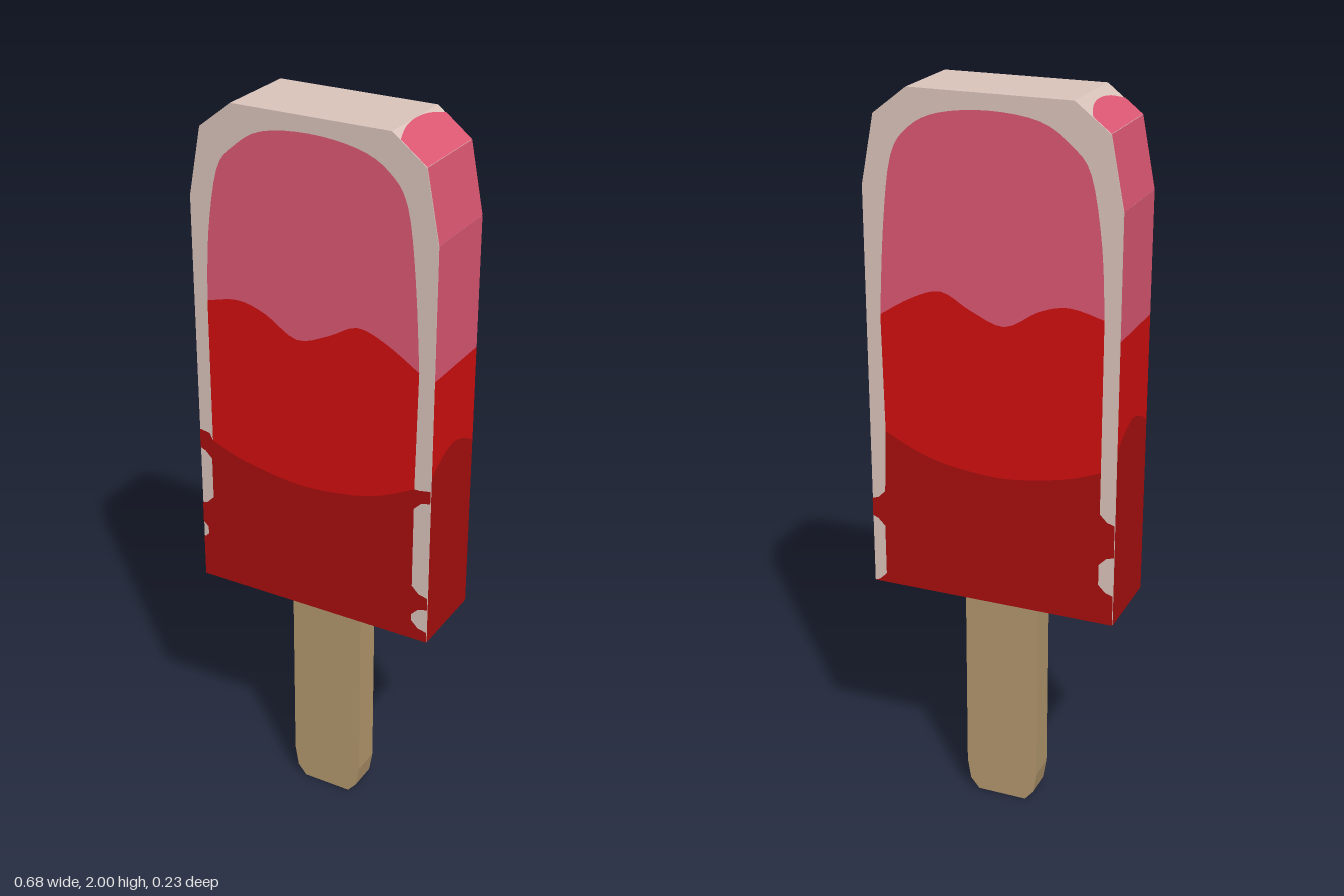
import * as THREE from 'three';

const mat = (name, color) => {
  const m = new THREE.MeshStandardMaterial({ color });
  m.name = name;
  return m;
};

export function createModel() {
  const cream = mat('cream', 0xdcc5bd);
  const pink = mat('pink', 0xde5873);
  const red = mat('red', 0xd40f0f);
  const darkRed = mat('dark red', 0xaa0f0f);
  const wood = mat('wood', 0xb4986d);

  const group = new THREE.Group();
  const W = 0.34, D = 0.115, BOTTOM = 0.655, GAP = 0.0015;
  const toShape = (pts) => new THREE.Shape(pts.map(([x, y]) => new THREE.Vector2(x, y)));
  const smooth = (pts, n = 28) => new THREE.SplineCurve(pts.map(([x, y]) => new THREE.Vector2(x, y)))
    .getPoints(n).map((p) => [p.x, p.y]);
  const mirror = (pts) => pts.map(([x, y]) => [-x, y]);

  const add = (name, geometry, material) => {
    const mesh = new THREE.Mesh(geometry, material);
    mesh.name = name;
    group.add(mesh);
    return mesh;
  };

  // Solid block with the same half outline on both sides
  const slab = (name, half, depth, material) => {
    const shape = toShape([...half, ...mirror(half).reverse()]);
    const geo = new THREE.ExtrudeGeometry(shape, { depth, bevelEnabled: false });
    add(name, geo.translate(0, 0, -depth / 2), material);
  };

  // Ice bar and stick
  const profile = [[W, BOTTOM], [W, 1.75], [0.305, 1.93], [0.215, 2.0]];
  slab('iceBar', profile, 2 * D, cream);
  slab('stick', [[0.07, 0], [0.095, 0.03], [0.105, 0.09], [0.105, BOTTOM + 0.02]], 0.08, wood);

  // Colour bands of the wide faces share these border lines
  const dome = smooth([[-0.3, 1.48], [-0.29, 1.66], [-0.26, 1.83], [-0.21, 1.895], [-0.13, 1.945], [0, 1.96],
    [0.13, 1.945], [0.21, 1.905], [0.26, 1.83], [0.285, 1.65], [0.3, 1.42]], 40);
  const wave = smooth([[-0.3, 1.48], [-0.21, 1.5], [-0.13, 1.48], [-0.04, 1.43], [0.05, 1.46],
    [0.13, 1.5], [0.21, 1.475], [0.3, 1.42]]);
  const sag = smooth([[-0.3, 1.08], [-0.2, 1.045], [-0.04, 1.02], [0.1, 1.03], [0.2, 1.055], [0.295, 1.1]]);

  // Lower edge of the dark band, bitten by notches [top, bottom, inner x, open at top]
  const edge = (s, notches) => {
    const pts = notches[0][3] ? [] : [[s * 0.31, 1.1], [s * W, 1.105]];
    for (const [top, low, inner, open] of notches) {
      const r = Math.min(0.02, (W - inner) * 0.6);
      if (!open) pts.push([s * W, top], [s * (inner + r), top - r * 0.3], [s * inner, top - r * 1.3]);
      pts.push([s * inner, low + r * 1.3], [s * (inner + r), low + r * 0.3], [s * W, low]);
    }
    pts.push([s * W, BOTTOM]);
    return pts;
  };
  const darkBand = (left, right) => [...sag, ...edge(1, left), ...edge(-1, right).reverse()];

  const bands = (dark) => [
    ['pinkTop', [...dome, ...wave.slice(1, -1).reverse()], pink],
    ['redMiddle', [...wave, ...sag.slice().reverse()], red],
    ['darkRedBase', dark, darkRed],
  ];
  const frontDark = darkBand([[1.07, 0.79, 0.295], [0.755, 0.685, 0.295]],
    [[1.05, 0.88, 0.305], [0.82, 0.775, 0.325]]);
  const backDark = darkBand([[1.09, 0.9, 0.302, true], [0.85, BOTTOM, 0.305]],
    [[1.07, 0.94, 0.3, true], [0.85, 0.74, 0.3]]);

  for (const [name, pts, m] of bands(frontDark)) {
    add(name + 'Front', new THREE.ShapeGeometry(toShape(pts)), m).position.z = D + GAP;
  }
  for (const [name, pts, m] of bands(backDark)) {
    const mesh = add(name + 'Back', new THREE.ShapeGeometry(toShape(mirror(pts))), m);
    mesh.rotation.y = Math.PI;
    mesh.position.z = -D - GAP;
  }

  // Flat face on a side: points are (across, up along the profile segment)
  const sideFace = (name, s, seg, pts, m) => {
    const [a, b] = [profile[seg], profile[seg + 1]];
    const up = new THREE.Vector3(s * (b[0] - a[0]), b[1] - a[1], 0).normalize();
    const across = new THREE.Vector3(0, 0, -s);
    const out = new THREE.Vector3().crossVectors(across, up);
    const geo = new THREE.ShapeGeometry(toShape(pts));
    geo.applyMatrix4(new THREE.Matrix4().makeBasis(across, up, out));
    add(name, geo, m).position.set(s * a[0], a[1], 0).addScaledVector(out, GAP);
  };
  const rect = (y0, y1) => [[-D, y0], [D, y0], [D, y1], [-D, y1]];

  for (const s of [1, -1]) {
    const label = s > 0 ? 'Left' : 'Right';
    const split = (s > 0 ? 1.405 : 1.43) - BOTTOM;
    const arch = smooth([[D, 0.49], [0.06, 0.52], [0, 0.535], [-0.06, 0.52], [-D, 0.49]], 16);
    sideFace('darkRedBase' + label, s, 0, [[-D, 0], [D, 0], ...arch], darkRed);
    sideFace('redMiddle' + label, s, 0, [...arch.slice().reverse(), [D, split], [-D, split]], red);
    sideFace('pinkSide' + label, s, 0, rect(split, 1.75 - BOTTOM), pink);
    sideFace('pinkShoulder' + label, s, 1, rect(0, Math.hypot(0.035, 0.18)), pink);
    // Rounded end of the pink on the top slope
    const [rim, crown] = s > 0 ? [0.087, 0.113] : [0.058, 0.09];
    const cap = smooth([[D, rim], [0.06, rim + (crown - rim) * 0.75], [0, crown],
      [-0.06, rim + (crown - rim) * 0.75], [-D, rim]], 16);
    sideFace('pinkCap' + label, s, 2, [[-D, 0], [D, 0], ...cap], pink);
  }

  // Underside of the bar
  const under = add('underside', new THREE.PlaneGeometry(2 * W, 2 * D), darkRed);
  under.rotation.x = Math.PI / 2;
  under.position.y = BOTTOM - GAP;

  return group;
}
